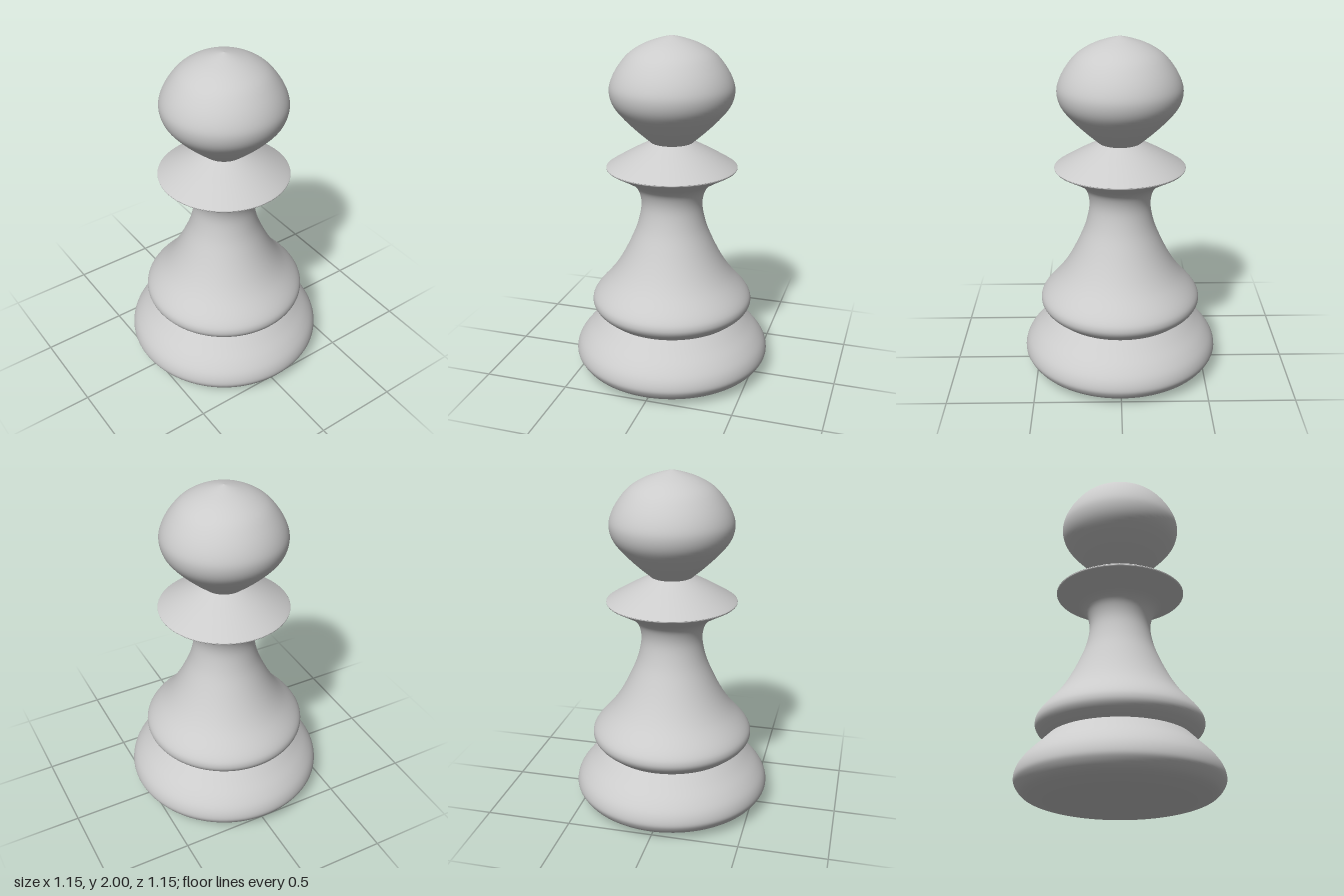
import * as THREE from 'three';

const material = new THREE.MeshStandardMaterial({ color: 0xcccccc });

// Turned part: a smooth curve through [radius, height] points, from bottom to top
function turned(name, points, divisions = 40) {
  const curve = new THREE.SplineCurve(points.map(([r, y]) => new THREE.Vector2(r, y)));
  const profile = curve.getPoints(divisions);
  profile.forEach((p) => { p.x = Math.max(p.x, 0); });
  const mesh = new THREE.Mesh(new THREE.LatheGeometry(profile, 96), material);
  mesh.name = name;
  return mesh;
}

export function createModel() {
  const group = new THREE.Group();
  group.name = 'pawn';

  // Flat underside
  const underside = new THREE.Mesh(new THREE.CircleGeometry(0.36, 96), material);
  underside.name = 'underside';
  underside.rotation.x = Math.PI / 2;
  underside.position.y = 0.002;

  group.add(
    underside,
    // Rounded foot narrowing to a crease
    turned('foot', [
      [0.36, 0.002], [0.46, 0.018], [0.53, 0.045], [0.568, 0.09], [0.576, 0.128],
      [0.56, 0.18], [0.52, 0.235], [0.46, 0.295], [0.405, 0.35],
    ]),
    // Bulging skirt, slim waist and flare out to the collar rim
    turned('body', [
      [0.405, 0.35], [0.456, 0.395], [0.473, 0.44], [0.45, 0.495], [0.36, 0.6],
      [0.3, 0.69], [0.244, 0.8], [0.2, 0.91], [0.178, 1.02], [0.188, 1.1],
      [0.222, 1.155], [0.29, 1.2], [0.37, 1.245],
    ], 64),
    // Collar with a thin rounded rim and sloping top
    turned('collar', [
      [0.37, 1.245], [0.375, 1.253], [0.362, 1.266], [0.25, 1.333], [0.12, 1.403],
    ]),
    // Head tapering to the neck, with a slight peak
    turned('head', [
      [0.12, 1.4], [0.2, 1.47], [0.28, 1.55], [0.333, 1.62], [0.352, 1.69],
      [0.34, 1.755], [0.3, 1.83], [0.24, 1.9], [0.16, 1.95], [0.07, 1.983], [0, 2],
    ], 48),
  );
  return group;
}
